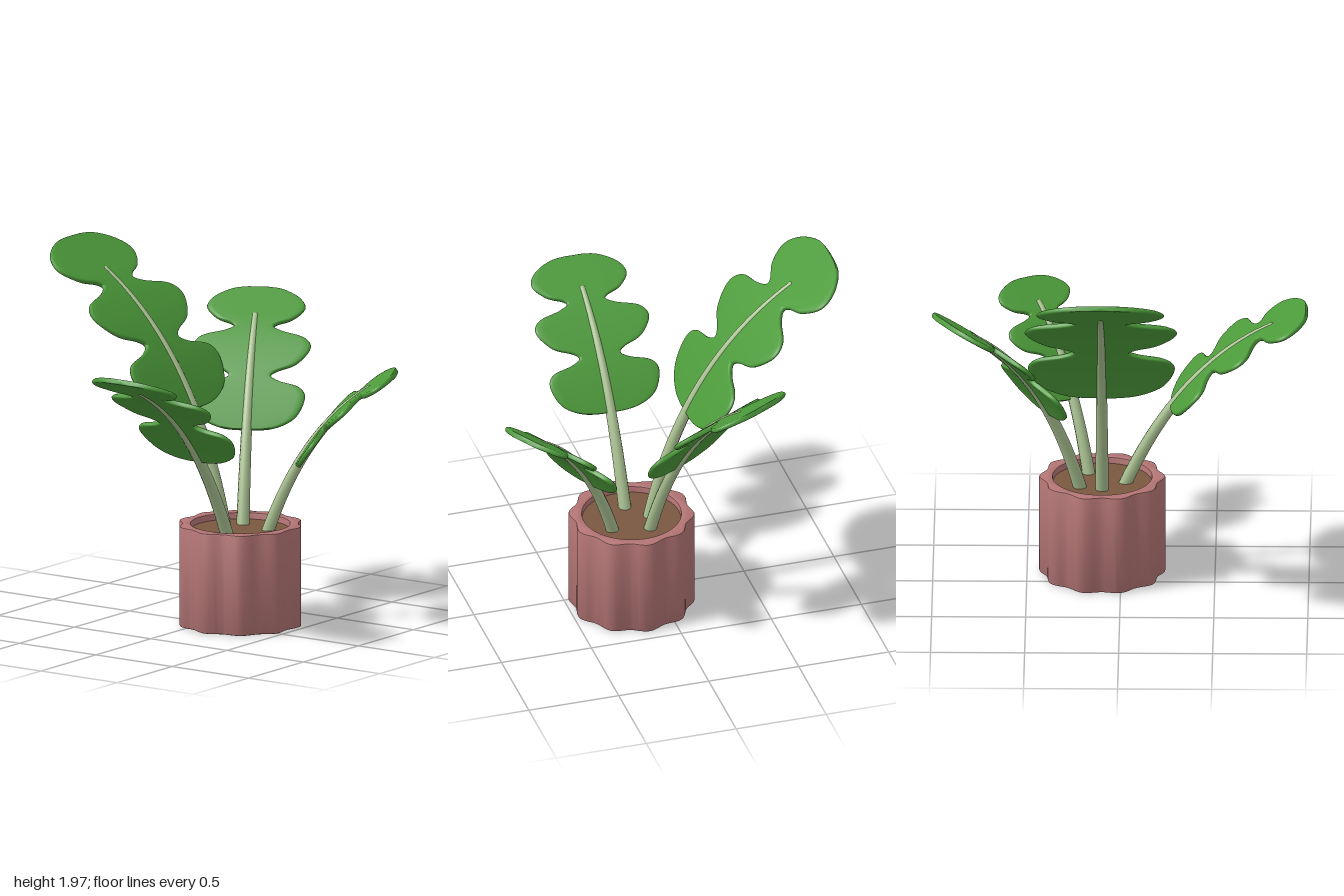
import * as THREE from 'three';
import { toCreasedNormals } from 'three/addons/utils/BufferGeometryUtils.js';

const material = (name, color, side = THREE.FrontSide) => {
  const m = new THREE.MeshStandardMaterial({ color, side });
  m.name = name;
  return m;
};

function addMesh(parent, name, geometry, mat, x = 0, y = 0, z = 0) {
  const mesh = new THREE.Mesh(geometry, mat);
  mesh.name = name;
  mesh.position.set(x, y, z);
  parent.add(mesh);
  return mesh;
}

// Half outline of a three-lobed leaf of length 1: [half-width, distance from base]
const OUTLINE = [
  [0, 0], [0.16, 0.015], [0.28, 0.08], [0.33, 0.2], [0.295, 0.27], [0.18, 0.305], [0.125, 0.34],
  [0.16, 0.375], [0.27, 0.425], [0.342, 0.53], [0.305, 0.605], [0.18, 0.645], [0.118, 0.68],
  [0.14, 0.71], [0.225, 0.75], [0.287, 0.835], [0.25, 0.92], [0.14, 0.985], [0, 1],
];
// Cross-section of the blade: [fraction of half-width, fraction of half-thickness]
const HALF = [[-1, 0], [-0.985, 0.55], [-0.95, 0.9], [-0.85, 1], [-0.45, 1], [0, 1]];
const TOP = [...HALF, ...HALF.slice(0, -1).reverse().map(([u, h]) => [-u, h])];
const SECTION = [...TOP, ...TOP.slice(1, -1).reverse().map(([u, h]) => [u, -h])];

// Tapered stalk along a curve
function stalkGeometry(curve, r0, r1) {
  const rings = 28, sides = 10;
  const geo = new THREE.TubeGeometry(curve, rings, 1, sides);
  const pos = geo.attributes.position, p = new THREE.Vector3();
  for (let i = 0; i <= rings; i++) {
    const c = curve.getPointAt(i / rings), r = r0 + (r1 - r0) * i / rings;
    for (let j = 0; j <= sides; j++) {
      const k = i * (sides + 1) + j;
      p.fromBufferAttribute(pos, k).sub(c).multiplyScalar(r).add(c);
      pos.setXYZ(k, p.x, p.y, p.z);
    }
  }
  return geo;
}

// Lobed blade that follows the stalk and runs on past its end
function bladeGeometry(curve) {
  const total = curve.getLength();
  const steps = 200;
  const lengths = curve.getLengths(steps);
  const start = lengths[steps * 0.4];
  const size = (total - start) / 0.77;
  const rows = new THREE.SplineCurve(OUTLINE.map(([w, s]) => new THREE.Vector2(w, s))).getPoints(108);
  const positions = [], index = [], n = SECTION.length;
  rows.forEach(({ x: w, y: s }, i) => {
    const d = start + s * size;
    const f = Math.min(1, d / total);
    const c = curve.getPointAt(f), t = curve.getTangentAt(f);
    c.addScaledVector(t, Math.max(0, d - total));
    const thick = 0.014 * Math.min(1, Math.max(0, w) / 0.06);
    for (const [u, h] of SECTION)
      positions.push(c.x - t.y * h * thick, c.y + t.x * h * thick, u * w * size);
    if (i === 0) return;
    for (let j = 0; j < n; j++) {
      const a = (i - 1) * n + j, b = (i - 1) * n + (j + 1) % n;
      index.push(a, b, a + n, b, b + n, a + n);
    }
  });
  const geo = new THREE.BufferGeometry();
  geo.setAttribute('position', new THREE.Float32BufferAttribute(positions, 3));
  geo.setIndex(index);
  geo.computeVertexNormals();
  return geo;
}

// Scalloped pot wall with a round opening
function potGeometry(height, bevel) {
  const points = [];
  for (let i = 0; i < 120; i++) {
    const a = i / 120 * Math.PI * 2, r = 0.323 + 0.013 * Math.cos(10 * a);
    points.push(new THREE.Vector2(r * Math.cos(a), r * Math.sin(a)));
  }
  const shape = new THREE.Shape(points);
  shape.holes.push(new THREE.Path().absarc(0, 0, 0.263, 0, Math.PI * 2, true));
  const geo = new THREE.ExtrudeGeometry(shape, {
    depth: height - 2 * bevel, curveSegments: 48,
    bevelThickness: bevel, bevelSize: bevel, bevelOffset: -bevel, bevelSegments: 2,
  });
  geo.translate(0, 0, bevel).rotateX(-Math.PI / 2);
  return toCreasedNormals(geo, 0.6);
}

export function createModel() {
  const potMat = material('dusty pink clay', 0xb37474);
  const soilMat = material('brown soil', 0x7a5840);
  const stemMat = material('pale green stem', 0xa8c090);
  const leafMat = material('leaf green', 0x4c9a3a, THREE.DoubleSide);

  const model = new THREE.Group();
  model.name = 'pottedPlant';
  const plant = new THREE.Group();
  plant.name = 'plant';
  plant.position.set(0.1, 0, 0.155);
  model.add(plant);

  addMesh(plant, 'pot', potGeometry(0.545, 0.008), potMat);
  addMesh(plant, 'potFloor', new THREE.CylinderGeometry(0.28, 0.28, 0.04, 48), potMat, 0, 0.0205, 0);
  addMesh(plant, 'soil', new THREE.CylinderGeometry(0.266, 0.266, 0.47, 48), soilMat, 0, 0.275, 0);

  // Each leaf: direction in degrees, then [distance outward, height] of the curve's three points
  const leaves = [
    ['backLeaf', -90, [0.09, 0.45], [0.27, 1.4], [0.885, 1.81]],
    ['rightLeaf', 180, [0.1, 0.45], [0.4, 1.17], [0.9, 1.41]],
    ['frontLeaf', 60, [0.13, 0.45], [0.32, 1.05], [0.69, 1.29]],
    ['leftLeaf', -30, [0.12, 0.45], [0.33, 1.2], [0.79, 1.5]],
  ];
  for (const [name, angle, ...pts] of leaves) {
    const leaf = new THREE.Group();
    leaf.name = name;
    leaf.rotation.y = -THREE.MathUtils.degToRad(angle);
    plant.add(leaf);
    const curve = new THREE.QuadraticBezierCurve3(...pts.map(([r, y]) => new THREE.Vector3(r, y, 0)));
    addMesh(leaf, 'stem', stalkGeometry(curve, 0.036, 0.02), stemMat);
    addMesh(leaf, 'stemTip', new THREE.SphereGeometry(0.02, 12, 8), stemMat, ...pts[2]);
    addMesh(leaf, 'blade', bladeGeometry(curve), leafMat);
  }
  return model;
}
